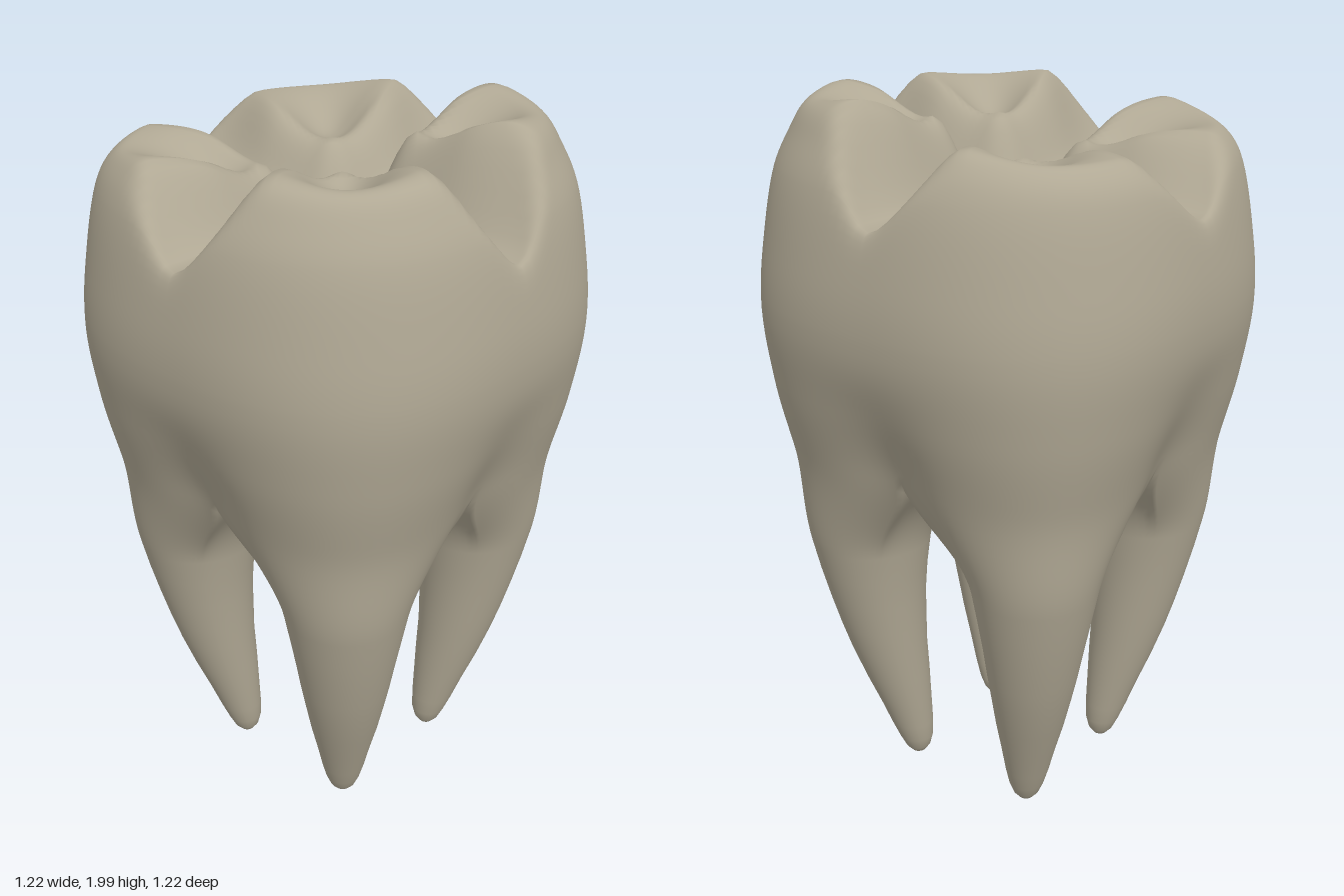
import * as THREE from 'three';
import { mergeVertices } from 'three/addons/utils/BufferGeometryUtils.js';

const { lerp, smoothstep, clamp } = THREE.MathUtils;
const QUARTER = 32; // columns per quarter turn
const COLUMNS = QUARTER * 4;
const NECK_Y = 1.05;
const FORK_Y = 0.92;

// Crown profile from neck to centre: radius, height of the outer dome, squareness
const crownProfile = new THREE.CatmullRomCurve3([
  [0.522, NECK_Y, 3.4], [0.575, 1.25, 2.95], [0.61, 1.46, 2.6], [0.603, 1.6, 2.5],
  [0.565, 1.8, 2.5], [0.52, 1.9, 2.5], [0.475, 1.98, 2.5], [0.41, 2.05, 2.5],
  [0.3, 2.1, 2.3], [0.15, 2.12, 2.1], [0, 2.12, 2],
].map((p) => new THREE.Vector3(...p)));

// Root sections from below the fork to the tip: height, centre offset, radius
const rootSections = [
  [0.75, 0.282, 0.168], [0.66, 0.279, 0.152], [0.57, 0.273, 0.137], [0.48, 0.264, 0.124],
  [0.4, 0.255, 0.111], [0.3, 0.24, 0.095], [0.2, 0.224, 0.076], [0.12, 0.212, 0.062],
  [0.065, 0.204, 0.05], [0.03, 0.201, 0.037], [0.01, 0.2, 0.021], [0, 0.2, 0],
];

// Point of a rounded-square loop, pinched at the four axes towards the neck
function wallPoint(angle, { x: radius, y, z: squareness }) {
  const c = Math.cos(angle), s = Math.sin(angle);
  const offAxis = Math.atan2(Math.min(Math.abs(c), Math.abs(s)), Math.max(Math.abs(c), Math.abs(s)));
  const pinch = 0.1 * (1 - smoothstep(y, NECK_Y - 0.1, 1.4)) * Math.exp(-((offAxis / 0.24) ** 2));
  const norm = (Math.abs(c) ** squareness + Math.abs(s) ** squareness) ** (1 / squareness);
  const r = (radius / norm) * (1 - pinch);
  return new THREE.Vector3(r * c, y, r * s);
}

// Chewing surface: four cusps parted by a cross of grooves, each dished towards the centre
function chewingHeight(x, z) {
  const a = Math.abs(x), b = Math.abs(z);
  const rise = (d, along) => {
    const t = clamp(d / (0.145 + 0.08 * smoothstep(along, 0.3, 0.55)), 0, 1);
    return 0.85 * smoothstep(t, 0, 1) + 0.15 * t;
  };
  const cusp = z > 0 ? (x > 0 ? 2.0 : 1.97) : 1.925 - 0.12 * Math.max(0, b - 0.2);
  const valley = 1.66 + 0.06 * smoothstep(Math.max(a, b), 0, 0.3);
  const u = (a + b) * Math.SQRT1_2 - 0.29, v = (a - b) * Math.SQRT1_2;
  const dish = 0.11 * Math.exp(-u * u / 0.028 - v * v / 0.013);
  return valley + (cusp - valley - dish) * rise(a, b) * rise(b, a);
}

function smoothMin(a, b, k) {
  const h = Math.max(k - Math.abs(a - b), 0) / k;
  return Math.min(a, b) - (h * h * k) / 4;
}

// Skin closed loops listed from bottom to top
function loft(loops, out) {
  for (let j = 0; j < loops.length - 1; j++) {
    const lo = loops[j], hi = loops[j + 1], n = lo.length;
    for (let i = 0; i < n; i++) {
      const k = (i + 1) % n;
      for (const p of [lo[i], hi[i], lo[k], hi[i], hi[k], lo[k]]) out.push(p.x, p.y, p.z);
    }
  }
}

function crownLoops() {
  return crownProfile.getPoints(70).map((ring) =>
    Array.from({ length: COLUMNS }, (_, i) => {
      const p = wallPoint((i / COLUMNS) * Math.PI * 2, ring);
      p.y = smoothMin(p.y, chewingHeight(p.x, p.z), 0.08);
      return p;
    }));
}

// One root: a quarter of the neck, closed through the fork, narrowing to a tip
function rootLoops() {
  const [neck, above] = [crownProfile.getPoint(0), crownProfile.getPoint(0.01)];
  const drop = NECK_Y - rootSections[0][0];
  const start = [], wallSlopes = [], wallShare = [];

  // Outer arc, with the slope of the crown wall
  for (let i = 0; i <= QUARTER; i++) {
    const angle = (i / COLUMNS) * Math.PI * 2;
    const p = wallPoint(angle, neck);
    const slope = p.clone().sub(wallPoint(angle, above));
    start.push(p);
    wallSlopes.push(slope.multiplyScalar(-drop / slope.y));
    wallShare.push(1);
  }
  // Two arms from the wall to the middle of the fork
  const reach = start[0].x, steps = 14;
  const addArm = (t, alongX) => {
    start.push(new THREE.Vector3(
      alongX ? reach * t : 0, lerp(FORK_Y, NECK_Y, t ** 3), alongX ? 0 : reach * t));
    wallSlopes.push(wallSlopes[alongX ? 0 : QUARTER]);
    wallShare.push(t ** 6);
  };
  for (let i = steps - 1; i >= 0; i--) addArm(i / steps, false);
  for (let i = 1; i < steps; i++) addArm(i / steps, true);

  const section = ([y, c, r]) => start.map((p) => {
    const angle = Math.atan2(p.z - 0.26, p.x - 0.26);
    return new THREE.Vector3(c + r * Math.cos(angle), y, c + r * Math.sin(angle));
  });
  const sections = rootSections.map(section);

  // Curved blend from the neck into the first round section
  const blend = (t) => start.map((p, i) => {
    const end = sections[0][i];
    const leave = end.clone().sub(p).setY(0).lerp(wallSlopes[i], wallShare[i]);
    const arrive = sections[1][i].clone().sub(end);
    arrive.multiplyScalar(-drop / arrive.y);
    const t2 = t * t, t3 = t2 * t;
    return new THREE.Vector3()
      .addScaledVector(p, 2 * t3 - 3 * t2 + 1).addScaledVector(leave, t3 - 2 * t2 + t)
      .addScaledVector(end, 3 * t2 - 2 * t3).addScaledVector(arrive, t3 - t2);
  });
  const arch = Array.from({ length: 9 }, (_, i) => blend((i + 1) / 10));
  return [start, ...arch, ...sections].reverse();
}

export function createModel() {
  const enamel = new THREE.MeshStandardMaterial({ color: 0xb0a894 });
  enamel.name = 'enamel';

  const positions = [];
  loft(crownLoops(), positions);
  // Four roots, each a quarter turn apart
  const root = rootLoops();
  for (let q = 0; q < 4; q++) {
    const c = [1, 0, -1, 0][q], s = [0, 1, 0, -1][q];
    loft(root.map((loop) => loop.map((p) =>
      new THREE.Vector3(p.x * c - p.z * s, p.y, p.x * s + p.z * c))), positions);
  }

  // Weld crown and roots into one smooth skin
  let geometry = new THREE.BufferGeometry();
  geometry.setAttribute('position', new THREE.Float32BufferAttribute(positions, 3));
  geometry = mergeVertices(geometry, 1e-4);
  geometry.computeVertexNormals();

  const tooth = new THREE.Mesh(geometry, enamel);
  tooth.name = 'crownAndRoots';
  const group = new THREE.Group();
  group.name = 'molarTooth';
  group.add(tooth);
  return group;
}
